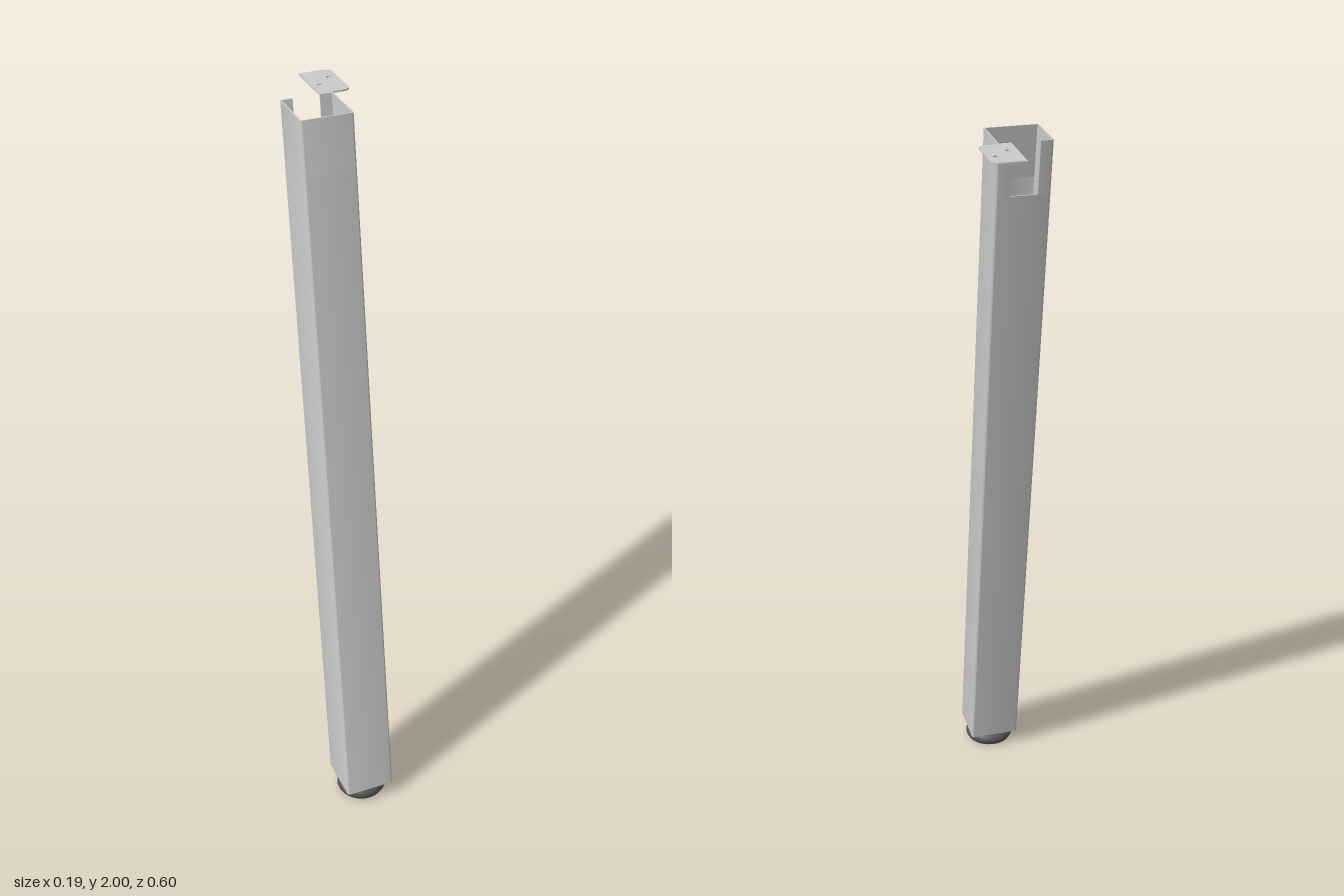
import * as THREE from 'three';
import { toCreasedNormals } from 'three/addons/utils/BufferGeometryUtils.js';

const HALF = 0.07, WALL = 0.004, CX = -0.025;
const Y0 = 0.045, Y1 = 2, NOTCH_Y = 1.86;
const Z0 = 0.227, Z1 = -0.087;
const zAt = (y) => Z0 + (Z1 - Z0) * (y - Y0) / (Y1 - Y0);

const steel = new THREE.MeshStandardMaterial({ color: 0xcccccc });
const rubber = new THREE.MeshStandardMaterial({ color: 0x555555 });

// Square with rounded corners, centred on the origin
function roundedSquare(path, h, r) {
  path.moveTo(-h + r, -h);
  path.lineTo(h - r, -h);
  path.absarc(h - r, -h + r, r, -Math.PI / 2, 0);
  path.lineTo(h, h - r);
  path.absarc(h - r, h - r, r, 0, Math.PI / 2);
  path.lineTo(-h + r, h);
  path.absarc(-h + r, h - r, r, Math.PI / 2, Math.PI);
  path.lineTo(-h, -h + r);
  path.absarc(-h + r, -h + r, r, Math.PI, Math.PI * 1.5);
  return path;
}

// Extrude a plan shape (shape y points to the back) upward from y = from to y = to
function extrudeUp(shape, from, to) {
  const g = new THREE.ExtrudeGeometry(shape, { depth: to - from, bevelEnabled: false, curveSegments: 6 });
  return g.rotateX(-Math.PI / 2).translate(0, from, 0);
}

// Lean a vertical piece back along the leg's slope, keeping its ends level
function lean(g) {
  const p = g.attributes.position;
  for (let i = 0; i < p.count; i++) p.setXYZ(i, p.getX(i) + CX, p.getY(i), p.getZ(i) + zAt(p.getY(i)));
  g.computeVertexNormals();
  return toCreasedNormals(g, 0.6);
}

function add(group, name, geometry, material = steel) {
  const mesh = new THREE.Mesh(geometry, material);
  mesh.name = name;
  group.add(mesh);
  return mesh;
}

export function createModel() {
  const model = new THREE.Group();
  model.name = 'tableLeg';

  // Closed tube up to the notch
  const tube = roundedSquare(new THREE.Shape(), HALF, 0.006);
  tube.holes.push(roundedSquare(new THREE.Path(), HALF - WALL, 0.002));
  add(model, 'legTube', lean(extrudeUp(tube, Y0, NOTCH_Y)));

  // Tube top, open at the back between the two notch edges
  const a = HALF, b = HALF - WALL, r = 0.006, left = 0.035, right = -0.037;
  const open = new THREE.Shape();
  open.moveTo(right, a);
  open.lineTo(-a + r, a);
  open.absarc(-a + r, a - r, r, Math.PI / 2, Math.PI);
  open.lineTo(-a, -a + r);
  open.absarc(-a + r, -a + r, r, Math.PI, Math.PI * 1.5);
  open.lineTo(a - r, -a);
  open.absarc(a - r, -a + r, r, -Math.PI / 2, 0);
  open.lineTo(a, a - r);
  open.absarc(a - r, a - r, r, 0, Math.PI / 2);
  for (const [x, y] of [[left, a], [left, b], [b, b], [b, -b], [-b, -b], [-b, b], [right, b]]) open.lineTo(x, y);
  add(model, 'notchedTubeTop', lean(extrudeUp(open, NOTCH_Y, Y1)));

  // Folded mounting tab with two screw holes
  const x0 = 0.01, x1 = 0.095, s0 = 0.158, s1 = 0.3, c = 0.018;
  const tab = new THREE.Shape();
  tab.moveTo(x0, s0 - 0.004);
  tab.lineTo(0.045, s0 - 0.004);
  tab.lineTo(0.045, s0);
  tab.lineTo(x1 - c, s0);
  tab.absarc(x1 - c, s0 + c, c, -Math.PI / 2, 0);
  tab.lineTo(x1, s1 - c);
  tab.absarc(x1 - c, s1 - c, c, 0, Math.PI / 2);
  tab.lineTo(x0, s1);
  for (const [x, s] of [[0.073, 0.25], [0.033, 0.21]]) {
    tab.holes.push(new THREE.Path().absarc(x, s, 0.007, 0, Math.PI * 2, true));
  }
  add(model, 'mountingTab', toCreasedNormals(extrudeUp(tab, Y1 - WALL, Y1), 0.6));

  // Inner plate that holds the foot's screw
  const plateY = 0.15;
  add(model, 'screwPlate', new THREE.BoxGeometry(2 * b, WALL, 2 * b)).position.set(CX, plateY, zAt(plateY));

  // Levelling foot and its screw
  const profile = [[0, 0], [0.056, 0], [0.065, 0.004], [0.07, 0.013], [0.07, 0.022], [0.065, 0.031],
    [0.056, 0.036], [0.02, 0.038], [0, 0.038]].map(([x, y]) => new THREE.Vector2(x, y));
  const foot = toCreasedNormals(new THREE.LatheGeometry(profile, 40), 0.8);
  add(model, 'foot', foot, rubber).position.set(CX, 0, Z0);
  const screw = new THREE.CylinderGeometry(0.012, 0.012, plateY - 0.036, 16);
  add(model, 'footScrew', screw, rubber).position.set(CX, (plateY + 0.036) / 2, Z0);

  return model;
}
